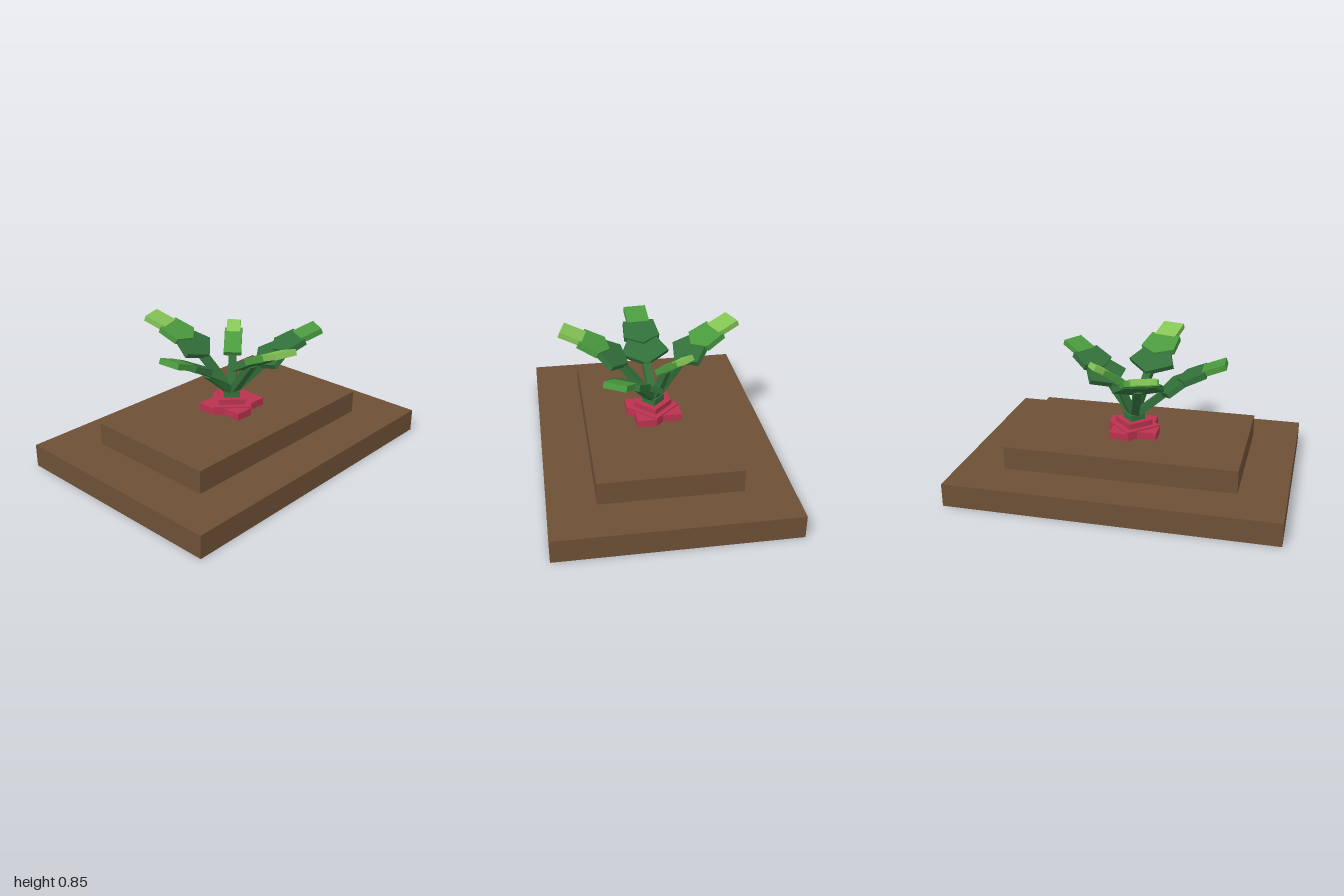
import * as THREE from 'three';

const paint = (name, color) => {
  const m = new THREE.MeshStandardMaterial({ color });
  m.name = name;
  return m;
};

export function createModel() {
  const soil = paint('soil brown', 0x6d5036);
  const red = paint('root red', 0xba3350);
  const dark = paint('dark leaf green', 0x32703a);
  const mid = paint('mid leaf green', 0x4a9a3e);
  const light = paint('light leaf green', 0x84c455);

  const model = new THREE.Group();
  model.name = 'pottedRootPlant';

  const add = (parent, name, geometry, material) => {
    const mesh = new THREE.Mesh(geometry, material);
    mesh.name = name;
    parent.add(mesh);
    return mesh;
  };
  // Box standing on height y, turned about the vertical axis
  const block = (name, w, h, d, y, material, turn = 0) => {
    const mesh = add(model, name, new THREE.BoxGeometry(w, h, d), material);
    mesh.position.y = y + h / 2;
    mesh.rotation.y = turn;
    return mesh;
  };

  // Stepped soil bed
  block('lowerSoil', 2, 0.143, 1.428, 0, soil);
  block('upperSoil', 1.428, 0.143, 0.856, 0.143, soil);

  // Root: a pinwheel of four slabs around a turned square, then smaller steps
  for (let i = 0; i < 4; i++) {
    const slab = new THREE.BoxGeometry(0.165, 0.046, 0.12);
    slab.translate(0.0825, 0.309, 0.06);
    add(model, 'rootSlab', slab, red).rotation.y = i * Math.PI / 2;
  }
  block('rootBase', 0.234, 0.055, 0.234, 0.286, red, Math.PI / 4);
  block('rootTop', 0.168, 0.034, 0.168, 0.341, red, Math.PI / 4);
  block('neck', 0.1, 0.04, 0.1, 0.375, dark, Math.PI / 4);

  // Flat plate: outline is half of [distance outward, half width], mirrored
  const plate = (leaf, name, half, thickness, r, y, tilt, material) => {
    const other = half.filter(p => p[1] > 0).reverse().map(([x, w]) => [x, -w]);
    const shape = new THREE.Shape([...half, ...other].map(p => new THREE.Vector2(...p)));
    const geometry = new THREE.ExtrudeGeometry(shape, { depth: thickness, bevelEnabled: false });
    geometry.rotateX(-Math.PI / 2);
    const mesh = add(leaf, name, geometry, material);
    mesh.position.set(r, y, 0);
    mesh.rotation.z = THREE.MathUtils.degToRad(tilt);
  };
  // Square stem from the neck to (r, y)
  const stem = (leaf, r, y) => {
    const from = new THREE.Vector2(0.01, 0.4);
    const step = new THREE.Vector2(r, y).sub(from);
    const mesh = add(leaf, 'stem', new THREE.BoxGeometry(step.length(), 0.045, 0.05), dark);
    mesh.position.set(from.x + step.x / 2, from.y + step.y / 2, 0);
    mesh.rotation.z = step.angle();
  };
  const leafGroup = (name, x, z) => {
    const leaf = new THREE.Group();
    leaf.name = name;
    leaf.rotation.y = -Math.atan2(z, x);
    model.add(leaf);
    return leaf;
  };

  // Four large leaves: three overlapping plates that flatten towards the tip
  const leaves = [
    ['frontLeaf', -0.145, 0.55, 0, dark, mid, light],
    ['backLeaf', -0.18, -0.53, -0.015, dark, mid, light],
    ['rightLeaf', -0.56, 0.04, -0.072, dark, dark, mid],
    ['leftLeaf', 0.475, 0.28, -0.072, dark, dark, mid],
  ];
  for (const [name, x, z, lift, inner, middle, outer] of leaves) {
    const leaf = leafGroup(name, x, z);
    stem(leaf, 0.23, 0.66 + lift);
    plate(leaf, 'innerBlade', [[0, 0], [0.085, 0.155], [0.2, 0.09]], 0.035, 0.17, 0.605 + lift, 33, inner);
    plate(leaf, 'middleBlade', [[0, 0], [0.055, 0.115], [0.19, 0.1]], 0.038, 0.28, 0.692 + lift, 24, middle);
    plate(leaf, 'leafTip', [[0, 0.072], [0.145, 0.072]], 0.036, 0.435, 0.768 + lift, 21, outer);
  }

  // Small young leaf
  const young = leafGroup('youngLeaf', 0.215, -0.18);
  stem(young, 0.11, 0.63);
  plate(young, 'youngBlade', [[0, 0.055], [0.19, 0.055]], 0.035, 0.08, 0.605, 34, mid);
  plate(young, 'youngTip', [[0, 0.043], [0.1, 0.043]], 0.034, 0.205, 0.696, 30, light);

  return model;
}
